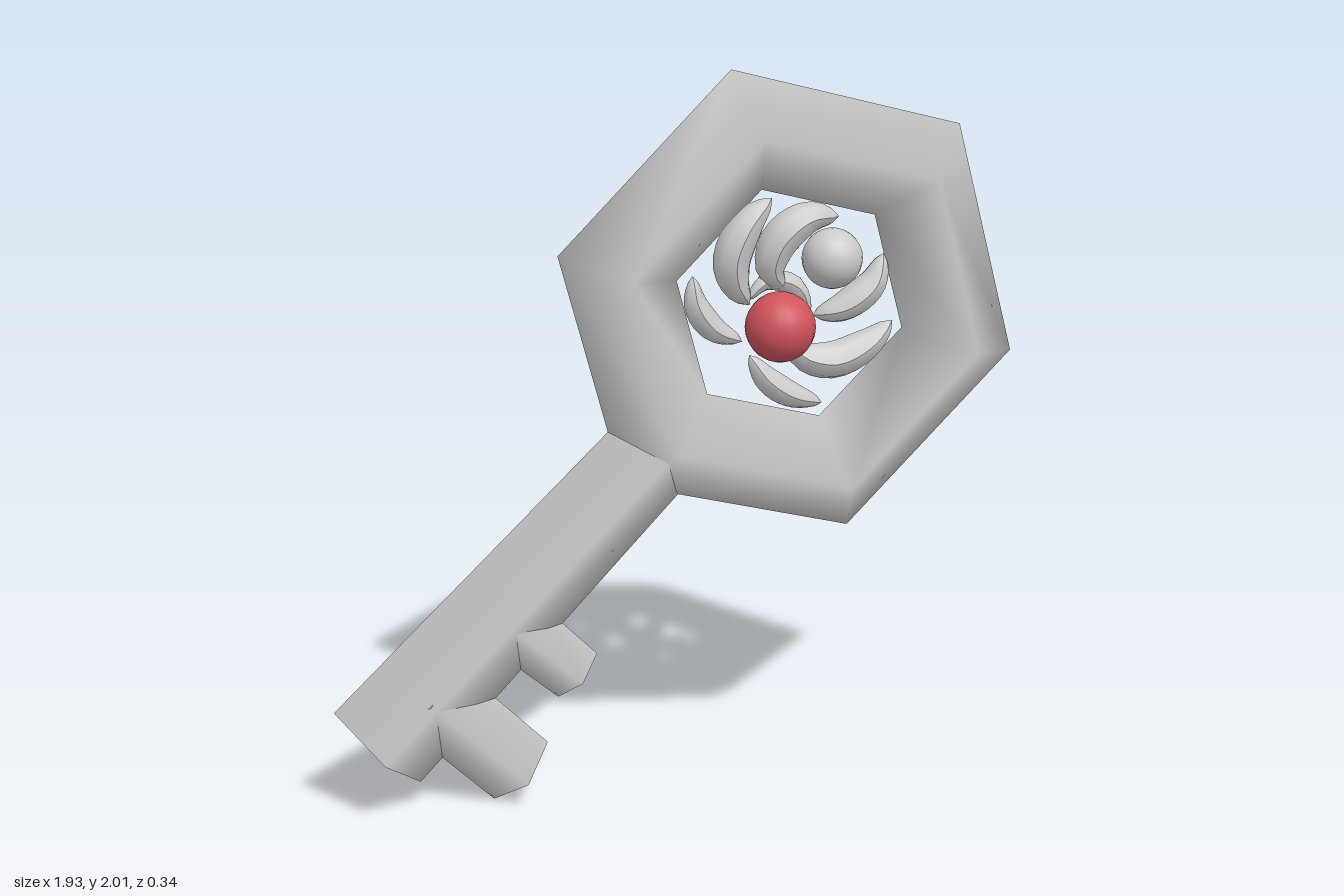
import * as THREE from 'three';

const grey = new THREE.MeshStandardMaterial({ color: 0xcccccc });
const red = new THREE.MeshStandardMaterial({ color: 0xd0545c });

function add(group, name, geometry, material = grey) {
  const mesh = new THREE.Mesh(geometry, material);
  mesh.name = name;
  group.add(mesh);
  return mesh;
}

// Tapered bar with a diamond section, running from a to b in the z = 0 plane.
// wide and deep give the half sizes at [a, b].
function diamondBar(a, b, wide, deep) {
  const start = new THREE.Vector3(...a, 0), end = new THREE.Vector3(...b, 0);
  const dir = end.clone().sub(start);
  const length = dir.length();
  const geo = new THREE.CylinderGeometry(wide[1], wide[0], length, 4);
  const pos = geo.attributes.position;
  for (let i = 0; i < pos.count; i++) {
    const k = pos.getY(i) > 0 ? 1 : 0;
    pos.setZ(i, pos.getZ(i) * deep[k] / wide[k]);
  }
  geo.rotateZ(Math.atan2(-dir.x, dir.y));
  geo.translate((a[0] + b[0]) / 2, (a[1] + b[1]) / 2, 0);
  return geo;
}

// Curved arm that swells in the middle and closes to blunt points.
function swirlArm(points, radius) {
  const curve = new THREE.CatmullRomCurve3(points.map(([x, y, z = 0]) => new THREE.Vector3(x, y, z)));
  const rings = 14, sides = 8;
  const geo = new THREE.TubeGeometry(curve, rings, radius, sides, false);
  const pos = geo.attributes.position;
  const v = new THREE.Vector3();
  for (let i = 0; i <= rings; i++) {
    const centre = curve.getPointAt(i / rings);
    const swell = Math.max(0.01, Math.pow(Math.sin(Math.PI * i / rings), 0.6));
    for (let j = 0; j <= sides; j++) {
      const n = i * (sides + 1) + j;
      v.fromBufferAttribute(pos, n).sub(centre).multiplyScalar(swell).add(centre);
      pos.setXYZ(n, v.x, v.y, v.z);
    }
  }
  geo.computeVertexNormals();
  return geo;
}

export function createModel() {
  const key = new THREE.Group();
  key.name = 'key';

  // Six-sided bow with a diamond section
  const bow = add(key, 'bow', new THREE.TorusGeometry(0.5, 0.168, 4, 6));
  bow.rotation.z = Math.PI / 4;
  bow.position.set(0.317, 1.354, 0);

  // Shaft and the two teeth
  add(key, 'shaft', diamondBar([-0.85, 0.185], [-0.01, 1.025], [0.163, 0.135], [0.132, 0.13]));
  add(key, 'largeTooth', diamondBar([-0.72, 0.34], [-0.453, 0.07], [0.112, 0.109], [0.128, 0.1]));
  add(key, 'smallTooth', diamondBar([-0.49, 0.53], [-0.288, 0.338], [0.092, 0.081], [0.104, 0.066]));

  // Swirling arms inside the bow
  const arms = [
    [[[0.26, 1.65], [0.19, 1.58], [0.15, 1.49], [0.16, 1.42], [0.2, 1.36]], 0.055],
    [[[0.45, 1.59], [0.36, 1.59], [0.28, 1.53], [0.26, 1.45], [0.3, 1.4]], 0.056],
    [[[0.58, 1.48], [0.55, 1.4], [0.47, 1.34], [0.38, 1.32]], 0.047],
    [[[0.61, 1.29], [0.54, 1.23], [0.44, 1.19], [0.35, 1.21], [0.31, 1.26]], 0.054],
    [[[0.2, 1.22], [0.25, 1.15], [0.32, 1.1], [0.41, 1.07]], 0.038],
    [[[0.04, 1.45], [0.05, 1.37], [0.1, 1.3], [0.18, 1.26]], 0.037],
  ];
  const swirl = new THREE.Group();
  swirl.name = 'swirl';
  arms.forEach(([points, radius], i) => add(swirl, `arm${i + 1}`, swirlArm(points, radius)));

  // Curled tendril behind the gem
  add(swirl, 'tendril', swirlArm([
    [0.19, 1.37, 0], [0.25, 1.42, -0.01], [0.33, 1.4, -0.02], [0.36, 1.32, -0.04], [0.3, 1.27, -0.05],
  ], 0.03));
  key.add(swirl);

  // Pearl and red gem
  add(key, 'pearl', new THREE.SphereGeometry(0.083, 20, 14)).position.set(0.433, 1.475, 0);
  add(key, 'gem', new THREE.SphereGeometry(0.096, 20, 14), red).position.set(0.272, 1.307, 0.05);

  return key;
}
